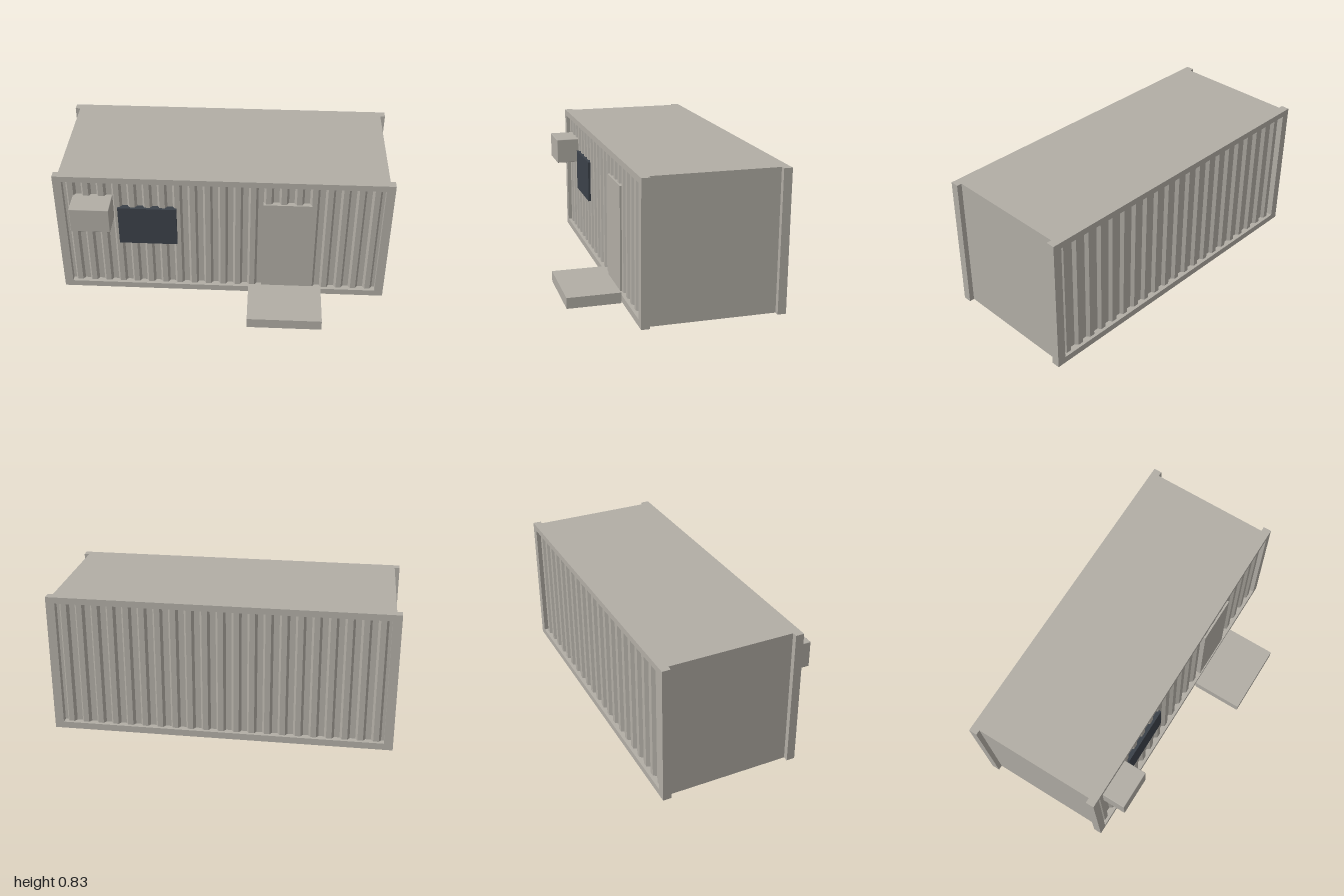
import * as THREE from 'three';
import { RoundedBoxGeometry } from 'three/addons/geometries/RoundedBoxGeometry.js';

export function createModel() {
  const model = new THREE.Group();
  model.name = 'siteCabin';

  const paint = new THREE.MeshStandardMaterial({ color: 0xb1ada5 });
  paint.name = 'warm grey paint';
  const glass = new THREE.MeshStandardMaterial({ color: 0x3b4149 });
  glass.name = 'dark glass';

  function add(name, geometry, material = paint) {
    const mesh = new THREE.Mesh(geometry, material);
    mesh.name = name;
    model.add(mesh);
    return mesh;
  }

  // Box given by its lower and upper limits on each axis
  function box(name, [x0, x1], [y0, y1], [z0, z1], material = paint, radius = 0) {
    const size = [x1 - x0, y1 - y0, z1 - z0];
    const geometry = radius
      ? new RoundedBoxGeometry(...size, 2, radius)
      : new THREE.BoxGeometry(...size);
    geometry.translate((x0 + x1) / 2, (y0 + y1) / 2, (z0 + z1) / 2);
    return add(name, geometry, material);
  }

  const height = 0.835, front = 0.255, back = -0.58, frameDepth = 0.05;
  const innerX = 0.948, innerY0 = 0.04, innerY1 = 0.798;

  // Plain core: end walls, roof and floor
  box('body', [-0.97, 0.97], [0, height], [back + frameDepth, front - frameDepth]);

  // Rectangular frame around each long side
  function frame(name, z) {
    const shape = new THREE.Shape();
    shape.moveTo(-1, 0).lineTo(1, 0).lineTo(1, height).lineTo(-1, height).closePath();
    const hole = new THREE.Path();
    hole.moveTo(-innerX, innerY0).lineTo(-innerX, innerY1)
      .lineTo(innerX, innerY1).lineTo(innerX, innerY0).closePath();
    shape.holes.push(hole);
    const geometry = new THREE.ExtrudeGeometry(shape, { depth: frameDepth, bevelEnabled: false });
    add(name, geometry.translate(0, 0, z));
  }
  frame('frontFrame', front - frameDepth);
  frame('backFrame', back);

  // Trapezoidal corrugation, drawn in plan and extruded upward
  function corrugation(name, side, wallZ) {
    const ribs = 21, pitch = 2 * innerX / ribs, slope = 0.013;
    const low = 0.012, high = 0.032;
    const shape = new THREE.Shape();
    shape.moveTo(-innerX, 0);
    for (let i = 0; i < ribs; i++) {
      const x = -innerX + i * pitch;
      shape.lineTo(x, -low);
      shape.lineTo(x + pitch * 0.18, -low);
      shape.lineTo(x + pitch * 0.18 + slope, -high);
      shape.lineTo(x + pitch * 0.82 - slope, -high);
      shape.lineTo(x + pitch * 0.82, -low);
    }
    shape.lineTo(innerX, -low);
    shape.lineTo(innerX, 0);
    shape.closePath();
    const geometry = new THREE.ExtrudeGeometry(shape, {
      depth: innerY1 - innerY0, bevelEnabled: false,
    });
    geometry.rotateX(-Math.PI / 2);
    if (side < 0) geometry.rotateY(Math.PI);
    add(name, geometry.translate(0, innerY0, wallZ));
  }
  corrugation('frontCorrugation', 1, front - frameDepth);
  corrugation('backCorrugation', -1, back + frameDepth);

  // Door, window, cooling unit and entrance step
  box('door', [0.24, 0.527], [innerY0, 0.67], [0.205, 0.248]);
  box('window', [-0.63, -0.277], [0.358, 0.617], [0.244, 0.252], glass);
  box('windowSurround', [-0.63, -0.277], [0.358, 0.617], [0.205, 0.244], glass);
  box('coolingUnit', [-0.892, -0.657], [0.533, 0.692], [0.21, 0.38], paint, 0.004);
  box('entranceStep', [0.16, 0.61], [0, 0.065], [0.262, 0.58]);

  return model;
}
